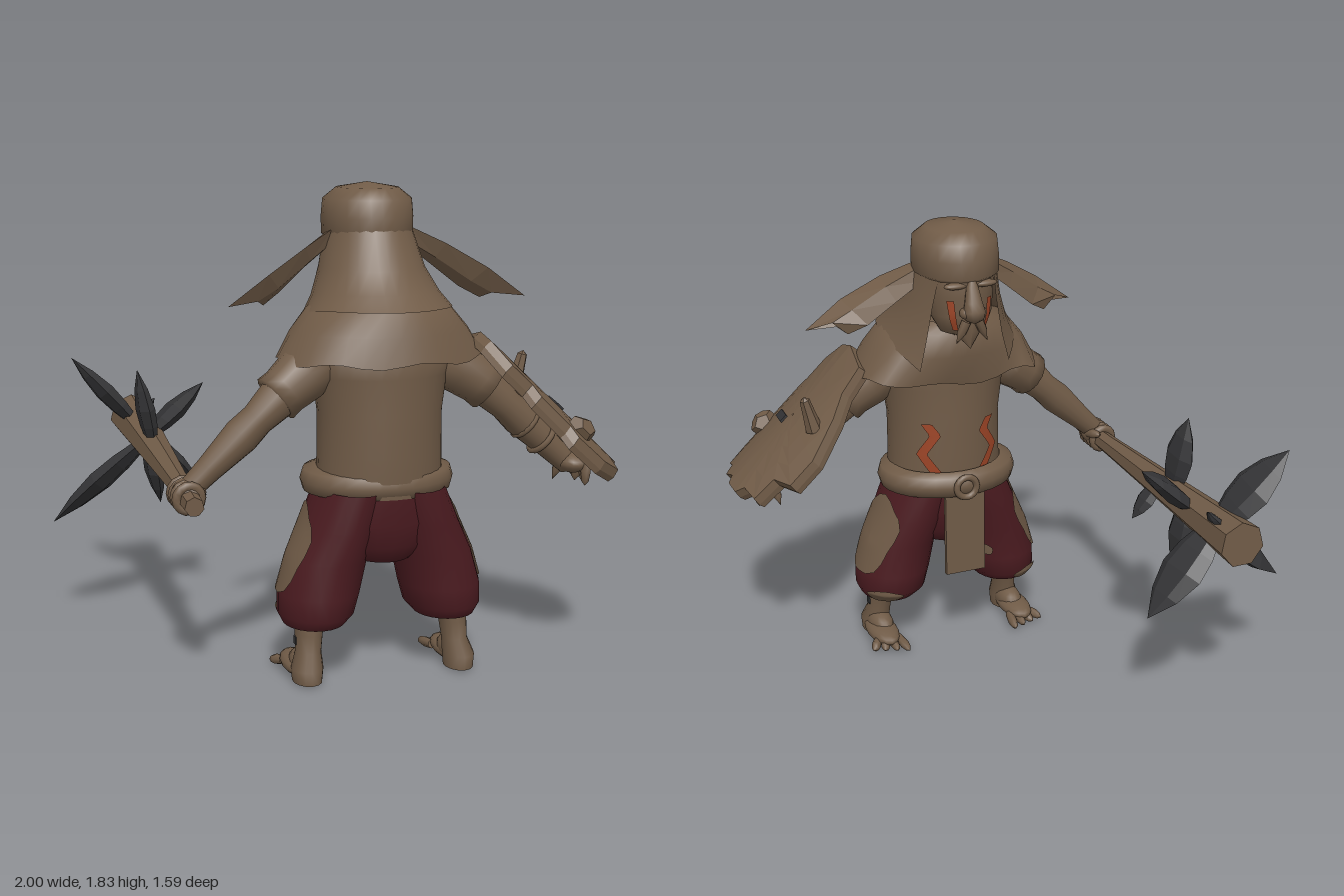
import * as THREE from 'three';

const V = (x, y, z) => new THREE.Vector3(x, y, z);
const mat = (name, color) => new THREE.MeshStandardMaterial({ name, color, side: THREE.DoubleSide });

// Skin over rows of points; each row runs around the section.
function loft(rows, closed = true) {
  const n = rows[0].length, pos = rows.flat().flatMap(p => p.toArray()), idx = [];
  for (let j = 0; j < rows.length - 1; j++) {
    for (let i = 0; i < (closed ? n : n - 1); i++) {
      const a = j * n + i, b = j * n + (i + 1) % n;
      idx.push(a, b, b + n, a, b + n, a + n);
    }
  }
  const g = new THREE.BufferGeometry();
  g.setAttribute('position', new THREE.Float32BufferAttribute(pos, 3));
  g.setIndex(idx);
  g.computeVertexNormals();
  return g;
}
const facet = g => {
  const f = g.index ? g.toNonIndexed() : g;
  f.computeVertexNormals();
  return f;
};
// Sections are [x, y, z, radiusX, radiusZ], from bottom to top; angle PI faces -z.
const onRing = ([x, y, z, rx, rz], a, off = 0) => V(x + (rx + off) * Math.sin(a), y, z + (rz + off) * Math.cos(a));
function rings(list, n = 24, open = 0, bend = p => p) {
  const rows = list.map((s, j) => Array.from({ length: open ? n + 1 : n }, (_, i) => {
    const a = -Math.PI + open + i / n * 2 * (Math.PI - open);
    return bend(onRing(s, a), a, j);
  }));
  return loft(rows, !open);
}
// Thin painted sheet that follows a ringed surface.
function decal(list, nu, nv, fn) {
  const point = ([a, y]) => {
    let j = 0;
    while (j < list.length - 2 && y > list[j + 1][1]) j++;
    const t = (y - list[j][1]) / (list[j + 1][1] - list[j][1]);
    return onRing(list[j].map((v, k) => v + (list[j + 1][k] - v) * t), a, 0.007);
  };
  const rows = [];
  for (let v = 0; v <= nv; v++) rows.push(Array.from({ length: nu + 1 }, (_, u) => point(fn(u / nu, v / nv))));
  return loft(rows, false);
}
const blob = (list, a, y, da, dy) => decal(list, 20, 5, (u, v) => {
  const t = u * Math.PI * 2, r = v * (1 + 0.05 * Math.sin(5 * t));
  return [a + da * r * Math.cos(t), y + dy * r * Math.sin(t)];
});
const lathe = (pts, n) => new THREE.LatheGeometry(pts.map(p => new THREE.Vector2(...p)), n);

export function createModel() {
  const brown = mat('earthBrown', 0x705b47), red = mat('darkRedCloth', 0x4b1b20);
  const grey = mat('darkStone', 0x343436), orange = mat('orangePaint', 0x9c4426);
  const model = new THREE.Group();
  model.name = 'tribalWarrior';
  const body = new THREE.Group();
  body.name = 'body';
  body.position.x = 0.1;
  model.add(body);
  const add = (parent, name, geo, m, x = 0, y = 0, z = 0) => {
    const mesh = new THREE.Mesh(geo, m);
    mesh.name = name;
    mesh.position.set(x, y, z);
    parent.add(mesh);
    return mesh;
  };
  // Stretches a unit-high geometry from point a to point b.
  const span = (parent, name, geo, m, a, b, wx = 1, wz = 1) => {
    const mesh = add(parent, name, geo, m, a.x, a.y, a.z), d = b.clone().sub(a);
    mesh.scale.set(wx, d.length(), wz);
    mesh.quaternion.setFromUnitVectors(V(0, 1, 0), d.normalize());
    return mesh;
  };
  const ball = (parent, name, x, y, z, rx, ry, rz) => {
    const mesh = add(parent, name, new THREE.SphereGeometry(1, 16, 10), brown, x, y, z);
    mesh.scale.set(rx, ry, rz);
    return mesh;
  };

  // Torso, belt and loincloth
  const torso = [[0, 0.7, 0.45, 0.24, 0.2], [0, 0.85, 0.45, 0.235, 0.205], [0, 1, 0.45, 0.235, 0.2],
    [0, 1.14, 0.45, 0.255, 0.2], [0, 1.24, 0.45, 0.29, 0.2], [0, 1.38, 0.42, 0.16, 0.16], [0, 1.46, 0.36, 0.1, 0.1]];
  add(body, 'torso', rings(torso, 28), brown);
  add(body, 'belt', rings([[0, 0.69, 0.42, 0.23, 0.19], [0, 0.7, 0.42, 0.28, 0.228], [0, 0.74, 0.42, 0.292, 0.235],
    [0, 0.78, 0.42, 0.28, 0.228], [0, 0.795, 0.42, 0.23, 0.19]], 28), brown);
  add(body, 'beltBuckle', new THREE.TorusGeometry(0.043, 0.014, 8, 16), brown, 0, 0.74, 0.185);
  add(body, 'loincloth', new THREE.BoxGeometry(0.17, 0.38, 0.02), brown, 0, 0.54, 0.215);
  add(body, 'hips', rings([[0, 0.44, 0.45, 0.03, 0.08], [0, 0.45, 0.45, 0.12, 0.14], [0, 0.51, 0.45, 0.225, 0.17],
    [0, 0.6, 0.45, 0.26, 0.195], [0, 0.72, 0.45, 0.235, 0.2]]), red);

  // Head, hat, hood and shoulder cape
  const head = [[0, 1.38, 0.22, 0.02, 0.02], [0, 1.41, 0.22, 0.09, 0.09], [0, 1.48, 0.25, 0.125, 0.14],
    [0, 1.56, 0.27, 0.14, 0.155], [0, 1.62, 0.28, 0.145, 0.175], [0, 1.7, 0.29, 0.13, 0.16]];
  add(body, 'head', rings(head), brown);
  span(body, 'nose', lathe([[0.012, 0], [0.024, 0.2], [0.036, 0.55], [0.045, 0.75], [0.035, 0.92], [0, 1]], 12), brown,
    V(0, 1.64, 0.115), V(0, 1.465, 0.08), 1, 0.95);
  span(body, 'beard', lathe([[0.07, 0], [0.05, 0.5], [0, 1]], 8), brown, V(0, 1.46, 0.18), V(0, 1.35, 0.13));
  add(body, 'hat', rings([[0, 1.62, 0.29, 0.15, 0.18], [0, 1.635, 0.29, 0.168, 0.2], [0, 1.7, 0.29, 0.17, 0.192],
    [0, 1.765, 0.29, 0.165, 0.178], [0, 1.805, 0.29, 0.115, 0.13], [0, 1.825, 0.29, 0.001, 0.001]]), brown);
  add(body, 'hood', rings([[0, 1.39, 0.41, 0.275, 0.3], [0, 1.44, 0.385, 0.235, 0.26], [0, 1.52, 0.345, 0.195, 0.215],
    [0, 1.66, 0.3, 0.16, 0.185]], 24, 0.75, (p, a, j) => {
    if (j < 2) p.y -= (0.13 - 0.06 * j) * Math.pow(Math.abs(a) / 2.39, 4);
    return p;
  }), brown);
  add(body, 'cape', rings([[0, 1.2, 0.45, 0.39, 0.27], [0, 1.3, 0.44, 0.335, 0.255], [0, 1.39, 0.43, 0.26, 0.235],
    [0, 1.43, 0.4, 0.15, 0.17]], 32, 0, (p, a, j) => {
    const front = Math.max(0, 1 - Math.abs(Math.PI - Math.abs(a)) / 0.8);
    const corner = Math.max(0, 1 - Math.abs(Math.abs(a) - 2.16) / 0.3);
    if (j === 0) {
      p.y += 0.01 * Math.sin(7 * a) - 0.03 * front;
      p.z += 0.045 * front - 0.06 * corner;
    }
    return p;
  }), brown);

  // Parts mirrored on both sides
  const leg = [[0.26, 0.195, 0.46, 0.05, 0.06], [0.258, 0.21, 0.46, 0.115, 0.135], [0.25, 0.25, 0.455, 0.143, 0.172],
    [0.238, 0.33, 0.455, 0.154, 0.175], [0.205, 0.46, 0.455, 0.15, 0.172], [0.155, 0.58, 0.45, 0.145, 0.195], [0.11, 0.72, 0.45, 0.133, 0.2]];
  const flap = [[V(0.15, 1.66, 0.35), V(0.14, 1.6, 0.27)], [V(0.27, 1.6, 0.41), V(0.24, 1.52, 0.3)],
    [V(0.42, 1.51, 0.455), V(0.35, 1.43, 0.33)], [V(0.57, 1.4, 0.45), V(0.42, 1.39, 0.37)]];
  const flapOut = V(0.53, 0.57, -0.62).normalize();
  for (const s of [1, -1]) {
    const side = new THREE.Group();
    side.name = s > 0 ? 'shieldSide' : 'clubSide';
    side.scale.x = s;
    body.add(side);
    add(side, 'trouserLeg', rings(leg.slice(1)), red);
    add(side, 'trouserHem', rings(leg.slice(0, 2)), brown);
    add(side, 'trouserPatch', blob(leg, 1.75, 0.49, 0.8, 0.165), brown);
    add(side, 'hemPatch', blob(leg, 2.6, 0.242, 0.55, 0.03), brown);
    add(side, 'shin', rings([[0.3, 0, 0.52, 0.055, 0.075], [0.3, 0.05, 0.52, 0.06, 0.075], [0.29, 0.11, 0.5, 0.048, 0.063],
      [0.285, 0.18, 0.49, 0.052, 0.07], [0.27, 0.28, 0.47, 0.06, 0.08]], 14), brown);
    ball(side, 'foot', 0.305, 0.036, 0.42, 0.064, 0.036, 0.14);
    ball(side, 'instep', 0.298, 0.05, 0.465, 0.053, 0.055, 0.1);
    for (let i = 0; i < 4; i++) {
      span(side, 'toe', lathe([[0.018, 0], [0.02, 0.5], [0.014, 0.8], [0, 1]], 7), brown,
        V(0.26 + i * 0.029, 0.026, 0.35), V(0.242 + i * 0.047, 0.012, 0.235 + i * 0.018));
    }
    add(side, 'shinMark', new THREE.BoxGeometry(0.006, 0.03, 0.03), grey, 0.337, 0.15, 0.49);
    add(side, 'hatFlap', facet(loft(flap.map(([a, b], k) => {
      const m = a.clone().lerp(b, 0.5), t = 0.025;
      if (k === 3) m.add(V(-0.03, 0.03, -0.01));
      return [a, m.clone().addScaledVector(flapOut, -t), b, m.clone().addScaledVector(flapOut, t)];
    }))), brown);
    span(side, 'sleeve', lathe([[0, -0.05], [0.09, 0], [0.105, 0.4], [0.092, 0.8], [0.095, 1], [0.06, 1.02]], 14), brown,
      V(0.24, 1.2, 0.47), V(0.41, 1.07, 0.5));
    span(side, 'arm', lathe([[0.06, 0], [0.077, 0.15], [0.062, 0.35], [0.068, 0.5], [0.05, 0.8], [0.042, 1]], 14), brown,
      V(0.34, 1.13, 0.5), V(0.74, 0.755, 0.51));
    span(side, 'moustache', lathe([[0.02, 0], [0.018, 0.5], [0, 1]], 7), brown, V(0.025, 1.47, 0.11), V(0.065, 1.38, 0.115));
    ball(side, 'nostril', 0.033, 1.505, 0.1, 0.022, 0.022, 0.028);
    ball(side, 'brow', 0.06, 1.61, 0.125, 0.05, 0.014, 0.022);
    // Painted marks on the face and belly
    add(side, 'cheekPaint', decal(head, 2, 6, (u, v) => [2.45 + 0.2 * u, 1.43 + 0.12 * v]), orange);
    add(side, 'bellyPaint', decal(torso, 2, 16, (u, v) =>
      [2.34 + 0.2 * u + 0.26 * Math.abs(((v * 2.6) % 2) - 1), 0.79 + 0.21 * v]), orange);
    if (s < 0) add(side, 'kneePatch', blob(leg, 3.75, 0.38, 0.17, 0.025), brown);
  }

  // Gripping hand and the open hand behind the shield
  ball(model, 'clubHand', -0.635, 0.752, 0.51, 0.063, 0.05, 0.068);
  for (let i = 0; i < 4; i++) add(model, 'clubFinger', new THREE.TorusGeometry(0.045, 0.018, 7, 14), brown, -0.645, 0.738, 0.455 + i * 0.034);
  span(model, 'clubThumb', lathe([[0.018, 0], [0.02, 0.5], [0.015, 0.85], [0, 1]], 7), brown, V(-0.59, 0.76, 0.49), V(-0.61, 0.775, 0.41));
  ball(model, 'shieldHand', 0.85, 0.765, 0.52, 0.06, 0.04, 0.075);
  for (let i = 0; i < 4; i++) {
    span(model, 'shieldFinger', lathe([[0.016, 0], [0.02, 0.4], [0.015, 0.8], [0, 1]], 7), brown,
      V(0.885, 0.775, 0.46 + i * 0.04), V(0.895 - (i % 2) * 0.02, 0.685, 0.455 + i * 0.045));
  }
  span(model, 'shieldThumb', lathe([[0.016, 0], [0.018, 0.5], [0, 1]], 7), brown, V(0.83, 0.76, 0.46), V(0.81, 0.68, 0.44));
  for (const t of [0.55, 0.72]) {
    const p = V(0.44, 1.13, 0.5).lerp(V(0.84, 0.755, 0.51), t);
    const strap = add(model, 'shieldStrap', new THREE.TorusGeometry(0.06, 0.011, 6, 16), brown, p.x, p.y, p.z);
    strap.quaternion.setFromUnitVectors(V(0, 0, 1), V(0.73, -0.685, 0.02).normalize());
  }

  // Rough curved shield: local x runs down the slope, local z points outward
  const shield = new THREE.Group();
  shield.name = 'shield';
  shield.position.set(0.7, 1.015, 0.5);
  shield.quaternion.setFromRotationMatrix(new THREE.Matrix4().makeBasis(V(0.727, -0.686, 0), V(0, 0, -1), V(0.686, 0.727, 0)));
  model.add(shield);
  const outline = [[-0.34, -0.125], [-0.36, -0.04], [-0.32, 0.13], [-0.2, 0.16], [-0.1, 0.22], [0.07, 0.28], [0.2, 0.28],
    [0.23, 0.2], [0.34, 0.19], [0.34, 0.1], [0.38, 0.07], [0.38, -0.02], [0.35, -0.05], [0.37, -0.12], [0.33, -0.15],
    [0.34, -0.23], [0.25, -0.28], [0.1, -0.29], [0.06, -0.26], [-0.1, -0.25], [-0.14, -0.21], [-0.25, -0.21]];
  const layers = [[0.01, -0.025], [0.5, -0.025], [1, -0.025], [1.015, 0], [1, 0.033], [0.75, 0.034], [0.5, 0.034], [0.25, 0.034], [0.01, 0.034]];
  add(shield, 'shieldBoard', facet(loft(layers.map(([k, z]) => outline.map(([u, v]) => V(u * k, v * k, z - 0.8 * v * v * k * k))))), brown);
  const crack = add(shield, 'shieldCrack', new THREE.BoxGeometry(0.035, 0.1, 0.009), grey, 0.04, -0.08, 0.03);
  crack.rotation.x = 0.13;
  span(shield, 'shieldSpike', facet(lathe([[0.035, 0], [0.026, 0.5], [0.02, 0.9], [0, 1]], 6)), brown,
    V(-0.02, 0.17, 0), V(-0.09, 0.17, 0.13));
  const stud = add(shield, 'shieldStud', facet(new THREE.DodecahedronGeometry(0.046)), brown, 0.12, -0.22, 0.005);
  stud.scale.x = 1.3;

  // Club with stone blades
  const club = new THREE.Group();
  club.name = 'club';
  model.add(club);
  const butt = V(-0.645, 0.73, 0.65), tip = V(-0.61, 0.775, -0.79);
  span(club, 'clubShaft', facet(lathe([[0, 0], [0.036, 0], [0.042, 0.2], [0.065, 0.6], [0.09, 1], [0, 1]], 7)), brown, butt, tip);
  const blade = facet(lathe([[0.45, 0], [0.88, 0.28], [1, 0.5], [0.68, 0.75], [0, 1]], 6));
  // Each blade: tip x, y, z, root z, half width
  const blades = [[-0.88, 1.06, -0.65, -0.59, 0.115], [-0.68, 1.07, -0.23, -0.21, 0.1], [-0.37, 0.97, -0.43, -0.38, 0.105],
    [-1, 0.42, -0.44, -0.36, 0.13], [-0.32, 0.44, -0.61, -0.58, 0.11],
    [-0.57, 0.49, -0.36, -0.36, 0.1], [-0.53, 0.87, -0.66, -0.66, 0.06], [-0.51, 0.61, -0.1, -0.1, 0.06]];
  for (const [x, y, z, root, w] of blades) {
    const a = butt.clone().lerp(tip, (0.65 - root) / 1.44);
    span(club, 'stoneBlade', blade, grey, a, V(x, y, z), w * 0.36, w);
  }
  return model;
}
